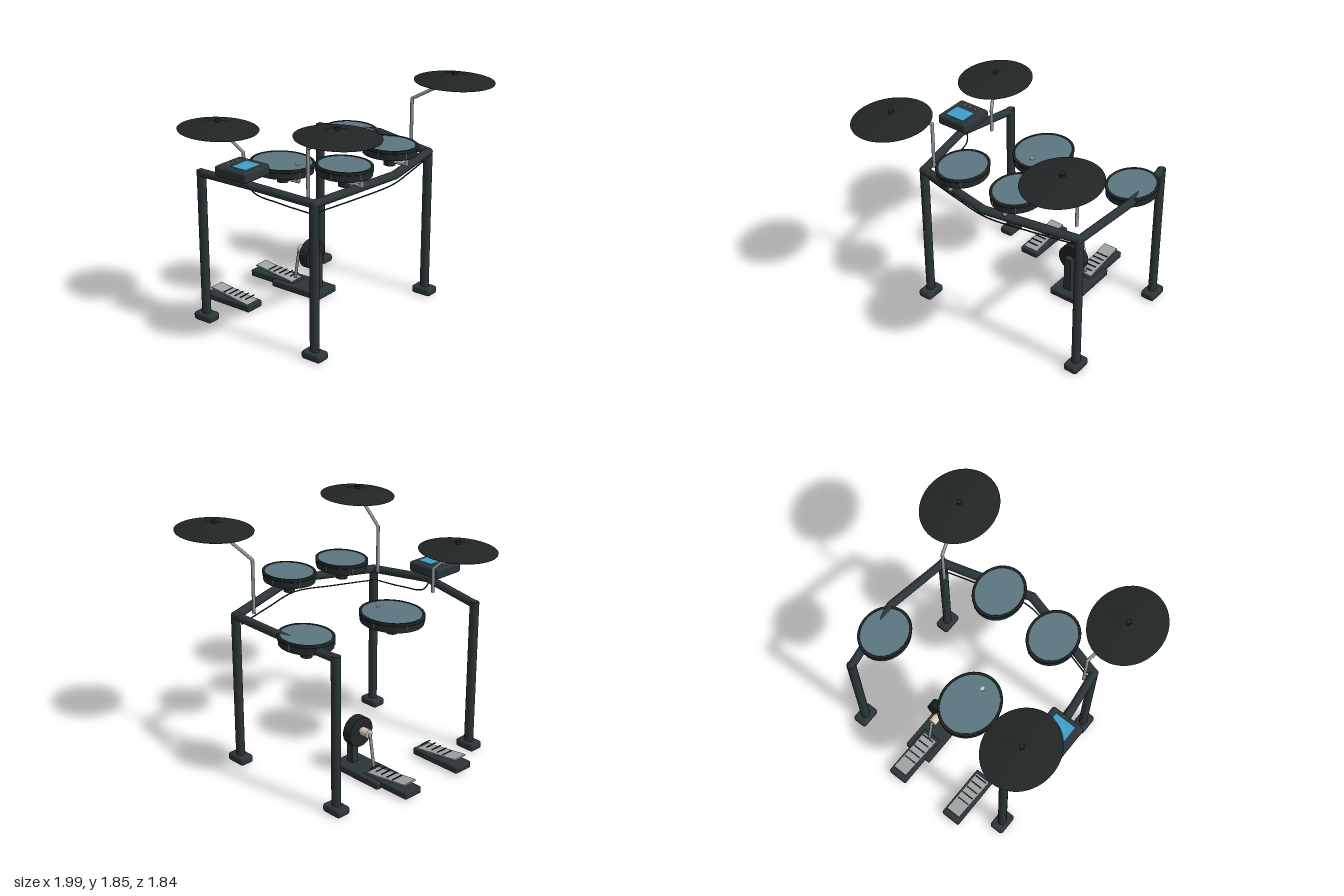
import * as THREE from 'three';
import { RoundedBoxGeometry } from 'three/addons/geometries/RoundedBoxGeometry.js';

// The whole kit is stretched front to back by this factor, so z values are divided by it.
const STRETCH = 1.15;
const V = (x, y, z) => new THREE.Vector3(x, y, z / STRETCH);
const mat = (color) => new THREE.MeshStandardMaterial({ color });

export function createModel() {
  const model = new THREE.Group();
  const kit = new THREE.Group();
  kit.name = 'drumKit';
  kit.scale.z = STRETCH;
  model.add(kit);

  const frame = mat(0x2b3437), black = mat(0x202525), shell = mat(0x23292b);
  const head = mat(0x5c7681), steel = mat(0x92999c), plate = mat(0x9ea3a5);
  const felt = mat(0xd6cdbd), blue = mat(0x3f9fca), white = mat(0xcfd2d2);

  const add = (name, geo, m, pos, parent = kit) => {
    const mesh = new THREE.Mesh(geo, m);
    mesh.name = name;
    if (pos) mesh.position.copy(pos);
    parent.add(mesh);
    return mesh;
  };
  // Box given by its extents in x, y and z
  const block = (name, m, [x0, x1], [y0, y1], [z0, z1], r = 0.015) => {
    const w = x1 - x0, h = y1 - y0, d = (z1 - z0) / STRETCH;
    const geo = r ? new RoundedBoxGeometry(w, h, d, 3, r) : new THREE.BoxGeometry(w, h, d);
    return add(name, geo, m, V((x0 + x1) / 2, (y0 + y1) / 2, (z0 + z1) / 2));
  };
  // Round rod through a list of points, with ball joints at the bends
  const rod = (name, m, r, points) => {
    const group = new THREE.Group();
    group.name = name;
    const p = points.map((a) => V(...a));
    for (let i = 1; i < p.length; i++) {
      const dir = p[i].clone().sub(p[i - 1]);
      const seg = add(name + 'Segment', new THREE.CylinderGeometry(r, r, dir.length(), 20), m,
        p[i].clone().add(p[i - 1]).multiplyScalar(0.5), group);
      seg.quaternion.setFromUnitVectors(new THREE.Vector3(0, 1, 0), dir.normalize());
      if (i < p.length - 1) add(name + 'Joint', new THREE.SphereGeometry(r, 20, 12), m, p[i], group);
    }
    kit.add(group);
  };

  // Rack: four legs with feet, front bar and two side bars, mirrored about x = 0.03
  const MID = 0.03;
  for (const s of [-1, 1]) {
    const x = MID + s * 0.7;
    for (const [z, top] of [[0.36, 1.19], [-0.68, 1.2]]) {
      rod('leg', frame, 0.032, [[x, 0.03, z], [x, top, z]]);
      block('foot', frame, [x - 0.058, x + 0.058], [0, 0.065], [z - 0.085, z + 0.085], 0.022);
      add('legCap', new THREE.SphereGeometry(0.033, 20, 12), frame, V(x, 1.18, z));
    }
    rod('sideBar', frame, 0.031,
      [[x, 1.18, 0.36], [MID + s * 0.77, 1.22, -0.15], [x, 1.18, -0.68]]);
  }
  rod('frontBar', frame, 0.031,
    [[MID - 0.7, 1.18, 0.36], [MID, 1.23, 0.54], [MID + 0.7, 1.18, 0.36]]);

  // Cymbals on bent arms
  const cymbalProfile = [[0, 0], [0.268, 0], [0.27, 0.006], [0.2, 0.021], [0.1, 0.037],
    [0.075, 0.048], [0.04, 0.055], [0, 0.057]].map((p) => new THREE.Vector2(...p));
  const cymbal = (name, [x, y, z], [ax, ay, az], bottom) => {
    const group = new THREE.Group();
    group.name = name;
    group.position.copy(V(x, y, z));
    kit.add(group);
    add('cymbalPlate', new THREE.LatheGeometry(cymbalProfile, 56), black, null, group);
    add('cymbalNut', new THREE.CylinderGeometry(0.018, 0.018, 0.03, 16), black,
      new THREE.Vector3(0, 0.062, 0), group);
    rod(name + 'Arm', steel, 0.012, [[ax, bottom, az], [ax, ay, az], [x, y + 0.02, z]]);
  };
  cymbal('frontRightCymbal', [-0.727, 1.715, 0.605], [-0.638, 1.555, 0.285], 1.18);
  cymbal('frontLeftCymbal', [0.727, 1.768, 0.575], [0.638, 1.605, 0.265], 1.2);
  cymbal('rearCymbal', [-0.674, 1.545, -0.5], [-0.59, 1.385, -0.34], 1.2);

  // Drum pads: shell, rim, head, lugs, mount and L-shaped holder rod
  const pad = (name, x, y, z, r) => {
    const group = new THREE.Group();
    group.name = name;
    group.position.copy(V(x, y, z));
    kit.add(group);
    const at = (h) => new THREE.Vector3(0, h, 0);
    add('padShell', new THREE.CylinderGeometry(r - 0.006, r - 0.006, 0.062, 48), shell, at(0.031), group);
    const rim = [[r - 0.018, 0.05], [r - 0.002, 0.05], [r, 0.055], [r, 0.07], [r - 0.004, 0.074],
      [r - 0.014, 0.074], [r - 0.018, 0.07], [r - 0.018, 0.05]].map((p) => new THREE.Vector2(...p));
    add('padRim', new THREE.LatheGeometry(rim, 48), black, null, group);
    add('padHead', new THREE.CylinderGeometry(r - 0.016, r - 0.016, 0.01, 48), head, at(0.065), group);
    for (let i = 0; i < 6; i++) {
      const a = (i * Math.PI) / 3 + 0.65;
      add('padLug', new THREE.CylinderGeometry(0.004, 0.004, 0.045, 8), steel,
        new THREE.Vector3(Math.sin(a) * (r - 0.004), 0.035, Math.cos(a) * (r - 0.004)), group);
    }
    add('padMount', new THREE.CylinderGeometry(0.04, 0.04, 0.092, 24), shell, at(-0.046), group);
    rod(name + 'Holder', steel, 0.014,
      [[x, y - 0.06, z], [x, y - 0.06, z + 0.15], [x, y - 0.015, z + 0.15]]);
  };
  pad('rightTom', -0.307, 1.295, 0.345, 0.187);
  pad('leftTom', 0.205, 1.316, 0.37, 0.187);
  pad('snare', -0.12, 1.115, -0.373, 0.222);
  pad('floorTom', 0.692, 1.17, -0.347, 0.187);
  add('snareSensor', new THREE.CylinderGeometry(0.014, 0.014, 0.008, 16), white, V(-0.12, 1.188, -0.23));

  // Control module with screen, buttons and stem
  block('module', frame, [-0.89, -0.622], [1.285, 1.368], [-0.35, -0.062], 0.02);
  block('moduleScreen', blue, [-0.84, -0.675], [1.36, 1.372], [-0.235, -0.102], 0);
  for (let i = 0; i < 3; i++)
    add('moduleButton', new THREE.CylinderGeometry(0.009, 0.009, 0.012, 12), white,
      V(-0.81 + i * 0.05, 1.37, -0.29));
  rod('moduleStem', frame, 0.012, [[-0.74, 1.3, -0.17], [-0.745, 1.21, -0.15]]);

  // Cables below the bars
  const cable = (name, points) => add(name, new THREE.TubeGeometry(
    new THREE.CatmullRomCurve3(points.map((p) => V(...p))), 40, 0.005, 8), black);
  cable('frontCable', [[-0.64, 1.098, 0.34], [-0.3, 1.118, 0.43], [0.03, 1.138, 0.5],
    [0.36, 1.123, 0.43], [0.7, 1.108, 0.34]]);
  cable('sideCable', [[-0.74, 1.3, -0.2], [-0.69, 1.15, -0.16], [-0.672, 1.115, 0.05], [-0.66, 1.098, 0.33]]);

  // Foot pedals: base, sloping plate and grip bars
  const pedal = (name, x) => {
    block(name + 'Base', frame, [x - 0.08, x + 0.08], [0.013, 0.068], [-0.92, -0.48], 0.012);
    const board = block(name + 'Plate', plate, [x - 0.06, x + 0.06], [0.08, 0.092], [-0.882, -0.508], 0);
    board.rotation.x = 0.15;
    for (let i = 0; i < 5; i++) {
      const z = -0.755 + i * 0.055;
      block(name + 'Grip', black, [x - 0.05, x + 0.05], [0.1, 0.106], [z - 0.004, z + 0.004], 0);
    }
  };
  pedal('hiHatPedal', -0.34);
  pedal('kickPedal', 0.198);

  // Kick tower: floor plate, post, round pad, beater
  block('kickBase', frame, [0.08, 0.315], [0.005, 0.062], [-0.67, -0.2], 0.012);
  block('kickPost', frame, [0.165, 0.229], [0.05, 0.358], [-0.325, -0.265], 0.005);
  const disc = (name, r, z0, z1, y, m) => {
    const mesh = add(name, new THREE.CylinderGeometry(r, r, (z1 - z0) / STRETCH, 40), m,
      V(0.197, y, (z0 + z1) / 2));
    mesh.rotation.x = Math.PI / 2;
  };
  disc('kickPad', 0.115, -0.386, -0.314, 0.33, black);
  disc('beater', 0.033, -0.468, -0.4, 0.345, felt);
  disc('beaterTip', 0.026, -0.4, -0.38, 0.345, steel);
  rod('beaterRod', steel, 0.011, [[0.197, 0.345, -0.45], [0.197, 0.335, -0.478], [0.197, 0.085, -0.52]]);

  return model;
}
